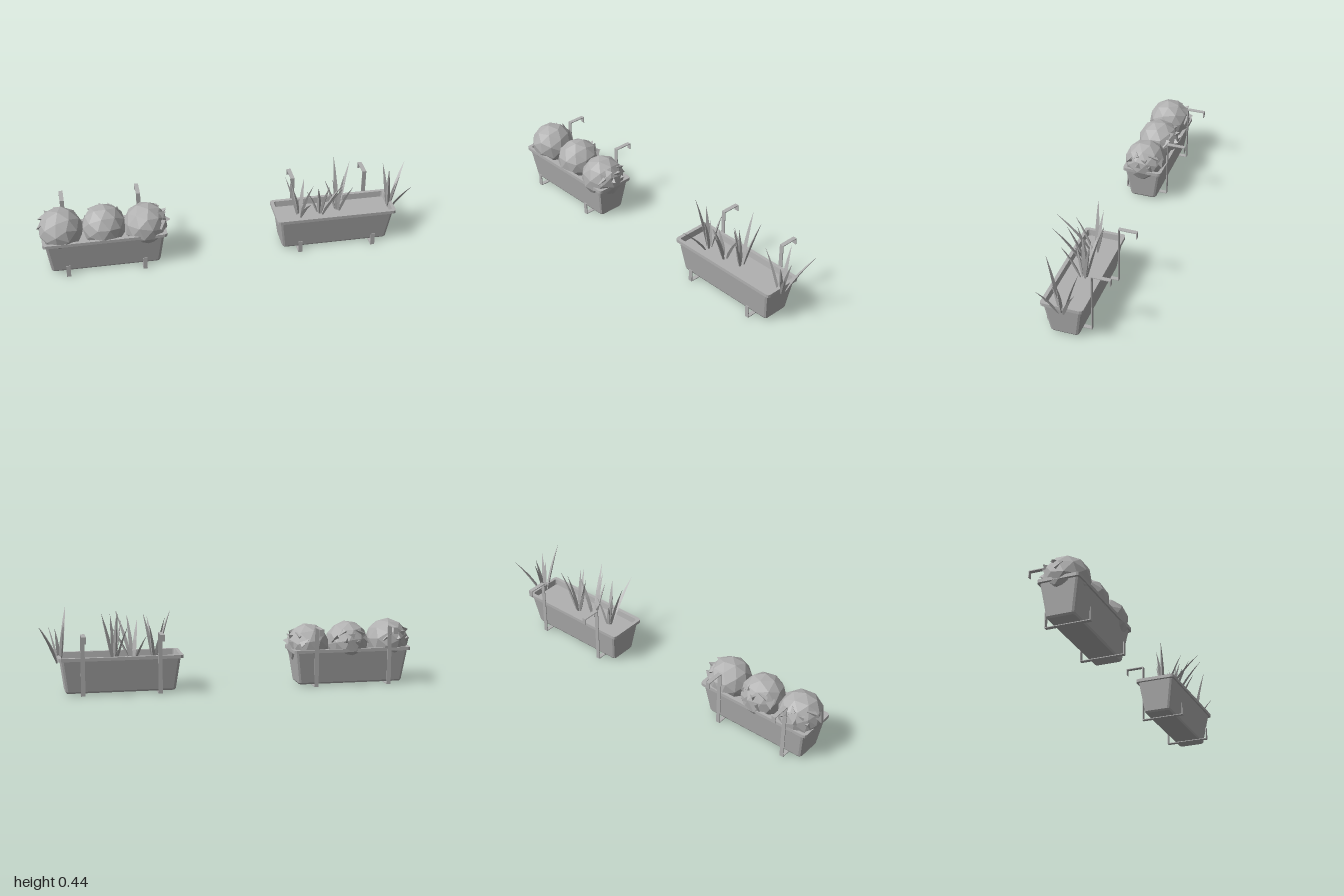
import * as THREE from 'three';

const grey = new THREE.MeshStandardMaterial({ color: 0xb0b0b0, flatShading: true, side: THREE.DoubleSide });
grey.name = 'plain grey';

function addMesh(parent, name, geometry) {
  const mesh = new THREE.Mesh(geometry, grey);
  mesh.name = name;
  parent.add(mesh);
  return mesh;
}

// Rectangle ring with rounded corners, counter-clockwise seen from above
function ring(hx, hz, y, r) {
  const points = [];
  for (let corner = 0; corner < 4; corner++) {
    const sx = corner === 0 || corner === 3 ? 1 : -1;
    const sz = corner < 2 ? -1 : 1;
    for (let k = 0; k < 3; k++) {
      const a = (corner + k / 2) * Math.PI / 2;
      points.push([sx * (hx - r) + r * Math.cos(a), y, sz * (hz - r) - r * Math.sin(a)]);
    }
  }
  return points;
}

function loft(rings) {
  const positions = [];
  for (let i = 0; i + 1 < rings.length; i++) {
    const low = rings[i], high = rings[i + 1], n = low.length;
    for (let j = 0; j < n; j++) {
      const k = (j + 1) % n;
      positions.push(...low[j], ...low[k], ...high[k], ...low[j], ...high[k], ...high[j]);
    }
  }
  const geometry = new THREE.BufferGeometry();
  geometry.setAttribute('position', new THREE.Float32BufferAttribute(positions, 3));
  geometry.computeVertexNormals();
  return geometry;
}

// Tapered trough with a projecting lip
function troughGeometry() {
  return loft([
    ring(0, 0, 0.007, 0),
    ring(0.28, 0.068, 0.007, 0.012),
    ring(0.287, 0.074, 0.016, 0.015),
    ring(0.309, 0.1, 0.18, 0.015),
    ring(0.323, 0.109, 0.18, 0.015),
    ring(0.323, 0.109, 0.197, 0.015),
    ring(0.305, 0.091, 0.197, 0.01),
    ring(0.300, 0.086, 0.155, 0.01),
  ]);
}

// Bent flat strip: front lip, base, back upright and railing hook
function bracketGeometry() {
  const path = [[0.117, 0.067], [0.117, 0.002], [-0.113, 0.002],
    [-0.113, 0.32], [-0.208, 0.32], [-0.208, 0.287]];
  const t = 0.002, left = [], right = [];
  path.forEach(([z, y], i) => {
    const before = path[Math.max(i - 1, 0)], after = path[Math.min(i + 1, path.length - 1)];
    const d1 = new THREE.Vector2(z - before[0], y - before[1]).normalize();
    const d2 = new THREE.Vector2(after[0] - z, after[1] - y).normalize();
    const nz = -Math.sign(Math.round(d1.y + d2.y)) * t;
    const ny = Math.sign(Math.round(d1.x + d2.x)) * t;
    left.push(new THREE.Vector2(-z - nz, y + ny));
    right.unshift(new THREE.Vector2(-z + nz, y - ny));
  });
  const geometry = new THREE.ExtrudeGeometry(new THREE.Shape([...left, ...right]),
    { depth: 0.022, bevelEnabled: false });
  geometry.translate(0, 0, -0.011);
  geometry.rotateY(Math.PI / 2);
  return geometry;
}

function planter(name, x, bracketXs) {
  const group = new THREE.Group();
  group.name = name;
  addMesh(group, 'trough', troughGeometry()).position.x = x;
  const soil = addMesh(group, 'soil', new THREE.BoxGeometry(0.602, 0.01, 0.174));
  soil.position.set(x, 0.16, 0);
  for (const bx of bracketXs) addMesh(group, 'bracket', bracketGeometry()).position.x = bx;
  return group;
}

// Faceted ball with angular leaves breaking through one side
function bush(x, y, z, radius, turn, side) {
  const group = new THREE.Group();
  group.name = 'bush';
  group.position.set(x, y, z);
  const ball = addMesh(group, 'foliage', new THREE.IcosahedronGeometry(radius, 1));
  ball.rotation.set(turn * 0.4, turn, turn * 0.3);
  const leaves = new THREE.Group();
  leaves.name = 'leaves';
  leaves.rotation.y = side;
  for (let i = 0; i < 7; i++) {
    const a = -0.9 + i * 0.3, lift = [0.25, 0.6, 0.05, 0.45, 0.2, 0.65, 0.3][i];
    const leaf = addMesh(leaves, 'leaf', new THREE.TetrahedronGeometry(0.036));
    leaf.position.set(Math.cos(a) * Math.cos(lift), Math.sin(lift), Math.sin(a) * Math.cos(lift))
      .multiplyScalar(radius * 0.86);
    leaf.rotation.set(i * 1.3, i * 2.1, i * 0.7);
  }
  group.add(leaves);
  return group;
}

// Three-sided blade that curves outward from base to tip
function bladeGeometry(base, tip) {
  const widths = [0.006, 0.0125, 0.0115, 0.007, 0.0005];
  const turn = Math.atan2(tip[2] - base[2], tip[0] - base[0]);
  const rings = widths.map((w, i) => {
    const t = i / (widths.length - 1), out = t * 0.7 + t * t * 0.3;
    const cx = base[0] + (tip[0] - base[0]) * out;
    const cy = base[1] + (tip[1] - base[1]) * t;
    const cz = base[2] + (tip[2] - base[2]) * out;
    return [0, 1, 2].map((k) => {
      const a = -k * Math.PI * 2 / 3;
      const u = Math.cos(a) * w * 0.6, v = Math.sin(a) * w;
      return [cx + u * Math.cos(turn) - v * Math.sin(turn), cy,
        cz + u * Math.sin(turn) + v * Math.cos(turn)];
    });
  });
  return loft(rings);
}

function tuft(cx, cz, tips) {
  const group = new THREE.Group();
  group.name = 'grassTuft';
  for (const tip of tips) {
    const base = [cx + (tip[0] - cx) * 0.15, 0.16, cz + (tip[2] - cz) * 0.15];
    addMesh(group, 'blade', bladeGeometry(base, tip));
  }
  return group;
}

export function createModel() {
  const model = new THREE.Group();
  model.name = 'railingPlanters';

  const bushPlanter = planter('bushPlanter', -0.66, [-0.86, -0.46]);
  bushPlanter.add(bush(-0.88, 0.224, 0, 0.117, 0.3, 2.2));
  bushPlanter.add(bush(-0.655, 0.218, -0.003, 0.116, 1.1, 1.6));
  bushPlanter.add(bush(-0.44, 0.209, 0.006, 0.116, 2.0, 0.2));
  model.add(bushPlanter);

  const grassPlanter = planter('grassPlanter', 0.572, [0.373, 0.771]);
  grassPlanter.add(tuft(0.39, 0.0, [
    [0.3, 0.42, 0.02], [0.335, 0.385, -0.02], [0.4, 0.357, 0.205],
    [0.435, 0.39, 0.09], [0.42, 0.35, -0.05], [0.36, 0.3, -0.03]]));
  grassPlanter.add(tuft(0.5, 0.0, [
    [0.47, 0.36, 0.07], [0.52, 0.385, 0.105], [0.575, 0.4, 0.16],
    [0.62, 0.35, 0.03], [0.43, 0.29, -0.02]]));
  grassPlanter.add(tuft(0.6, -0.01, [
    [0.59, 0.44, -0.097], [0.67, 0.42, -0.07], [0.615, 0.4, 0.03],
    [0.65, 0.36, 0.09], [0.53, 0.34, -0.03], [0.56, 0.37, 0.01]]));
  grassPlanter.add(tuft(0.88, 0.0, [
    [0.84, 0.445, 0.088], [0.99, 0.365, -0.107], [0.975, 0.33, 0.09],
    [0.935, 0.35, 0.0], [0.86, 0.385, -0.08], [0.9, 0.33, 0.04]]));
  model.add(grassPlanter);

  return model;
}
